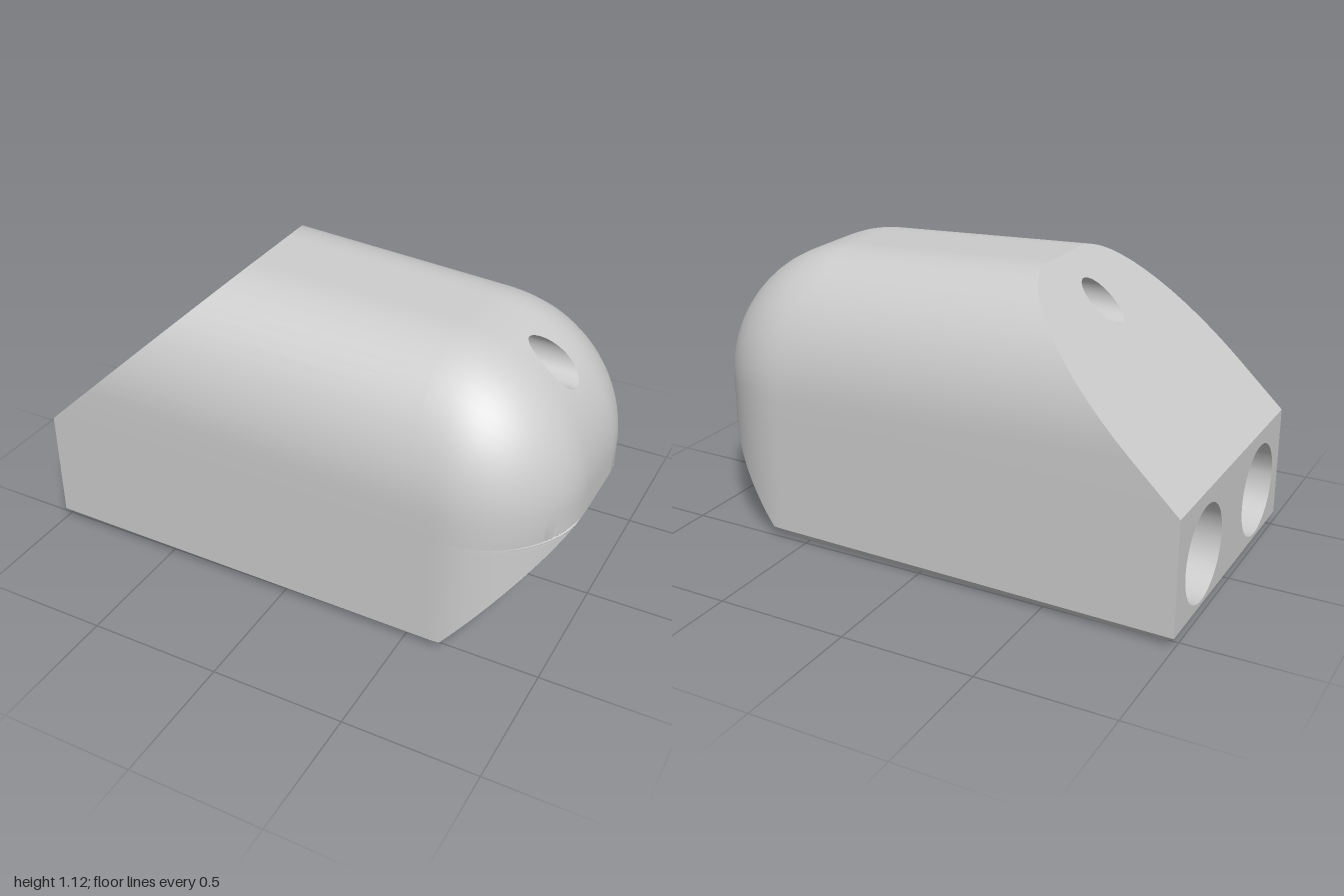
import * as THREE from 'three';
import { toCreasedNormals } from 'three/addons/utils/BufferGeometryUtils.js';

const V = (x, y, z) => new THREE.Vector3(x, y, z);
const ROWS = 30, ARCH = 14, FLAT = 12;

// Gently tapering block: height, half width and sideways drift along x
const height = (x) => 1.117 - 0.045 * (x + 0.32);
const halfFlat = (x) => 0.132 - 0.008 * x;
const drift = (x) => 0.0075 + 0.0172 * x;
// Corner radii shrink to nothing over the rounded end
const shrink = (x, r) => r * Math.sqrt(Math.max(0, 1 - (Math.max(0, x - (1 - r)) / r) ** 2));
const wall = (x) => halfFlat(x) + shrink(x, 0.4);
const crown = (x) => height(x) - 0.5 + shrink(x, 0.5);

// Slanted cuts
const topCut = (y) => Math.max(-1, -1 + 1.051 * (y - 0.47));
const noseCut = (y) => Math.min(1, 0.61 + 0.8125 * y);

// Lengthwise lines: each gives [half z, y] at a station x
function makeLines() {
  const side = [{ at: (x) => [wall(x) - 0.04, 0], y0: 0 }];
  for (const y of [0.04, 0.08, 0.13, 0.18, 0.23, 0.28, 0.33, 0.37, 0.4, 0.43, 0.455, 0.47, 0.48]) {
    side.push({ at: (x) => [wall(x), y], y0: y });
  }
  for (let i = 0; i <= ARCH; i++) {
    const a = (i / ARCH) * Math.PI / 2;
    side.push({
      y0: 1,
      at: (x) => [halfFlat(x) + shrink(x, 0.4) * Math.cos(a), height(x) - 0.5 + shrink(x, 0.5) * Math.sin(a)],
    });
  }
  const flat = [];
  for (let i = 1; i < FLAT; i++) {
    const u = 1 - (2 * i) / FLAT;
    flat.push({ y0: 1, at: (x) => [halfFlat(x) * u, crown(x)] });
  }
  const mirrored = side.map((l) => ({ y0: l.y0, at: (x) => [-l.at(x)[0], l.at(x)[1]] })).reverse();
  return { lines: [...side, ...flat, ...mirrored], sideCount: side.length };
}

// Triangle turned to face away from (sign 1) or towards (sign -1) a reference point
function addTri(out, a, b, c, ref, sign = 1) {
  const n = b.clone().sub(a).cross(c.clone().sub(a));
  if (n.length() < 1e-10) return;
  const mid = a.clone().add(b).add(c).divideScalar(3).sub(ref);
  if (n.dot(mid) * sign < 0) [b, c] = [c, b];
  for (const p of [a, b, c]) out.push(p.x, p.y, p.z);
}

function addQuad(out, a, b, c, d, ref, sign) {
  addTri(out, a, b, c, ref, sign);
  addTri(out, a, c, d, ref, sign);
}

// Flat face from a 3D outline, with optional hole outlines
function addFace(out, outline, holes, ref) {
  const flat = (p) => new THREE.Vector2(p.z, p.y);
  const clean = outline.filter((p, i) => p.distanceTo(outline[(i + 1) % outline.length]) > 1e-5);
  let contour = clean;
  if (THREE.ShapeUtils.isClockWise(contour.map(flat))) contour = contour.slice().reverse();
  const all = [contour, ...holes].flat();
  for (const [a, b, c] of THREE.ShapeUtils.triangulateShape(contour.map(flat), holes.map((h) => h.map(flat)))) {
    addTri(out, all[a], all[b], all[c], ref);
  }
}

// Station on the rounded end where the crown falls to height y
function crownX(y) {
  let lo = 0.5, hi = 1;
  for (let i = 0; i < 40; i++) {
    const m = (lo + hi) / 2;
    if (crown(m) > y) lo = m; else hi = m;
  }
  return lo;
}

function toMesh(name, positions, material, crease) {
  const g = new THREE.BufferGeometry();
  g.setAttribute('position', new THREE.Float32BufferAttribute(positions, 3));
  const mesh = new THREE.Mesh(toCreasedNormals(g, crease), material);
  mesh.name = name;
  return mesh;
}

export function createModel() {
  const group = new THREE.Group();
  group.name = 'drilledBlock';
  const grey = new THREE.MeshStandardMaterial({ color: 0xcccccc });
  grey.name = 'plain grey';

  const core = V(0, 0.5, 0);
  const body = [];
  const { lines, sideCount } = makeLines();

  // Grid of points along every line, from the rear cut to the nose
  const grid = lines.map(({ at, y0 }) => {
    let xs = y0 === 0 ? -0.96 : -1;
    if (y0 > 0) for (let i = 0; i < 30; i++) xs = topCut(at(xs)[1]);
    const end = Math.asin(Math.min(1, (noseCut(y0) - 0.5) / 0.5));
    const row = [];
    for (let i = 0; i <= ROWS + 1; i++) {
      const x = i === 0 ? xs : 0.5 + 0.5 * Math.sin((end * (i - 1)) / ROWS);
      const [z, y] = at(x);
      row.push(V(x, y, z + drift(x)));
    }
    return row;
  });
  const last = lines.length - 1, end = ROWS + 1;

  // Block of cells on the crown replaced by a ring around the small hole
  const j0 = sideCount - 1, j1 = j0 + FLAT;
  let i0 = 0, i1 = end;
  for (let i = 0; i <= end; i++) if (grid[j0][i].y > 1.046) i0 = i;
  for (let i = end; i >= 0; i--) if (grid[j0][i].y < 0.868) i1 = i;

  for (let j = 0; j < last; j++) {
    for (let i = 0; i < end; i++) {
      if (j >= j0 && j < j1 && i >= i0 && i < i1) continue;
      addQuad(body, grid[j][i], grid[j + 1][i], grid[j + 1][i + 1], grid[j][i + 1], core);
    }
  }
  // Underside
  for (let i = 0; i < end; i++) addQuad(body, grid[0][i], grid[last][i], grid[last][i + 1], grid[0][i + 1], core);

  // Ring between the block border and the small hole's rim
  const border = [];
  for (let j = j0; j < j1; j++) border.push(grid[j][i0]);
  for (let i = i0; i < i1; i++) border.push(grid[j1][i]);
  for (let j = j1; j > j0; j--) border.push(grid[j][i1]);
  for (let i = i1; i > i0; i--) border.push(grid[j0][i]);
  const small = { y: 0.955, z: 0.025, r: 0.074 };
  const smallAngles = border.map((p) => Math.atan2(p.y - small.y, p.z - small.z));
  const smallFront = smallAngles.map((a) => {
    const y = small.y + small.r * Math.sin(a);
    return V(crownX(y), y, small.z + small.r * Math.cos(a));
  });
  let ring = border;
  for (let s = 1; s <= 4; s++) {
    const next = border.map((p, k) => {
      const q = p.clone().lerp(smallFront[k], s / 4);
      q.x = crownX(q.y);
      return q;
    });
    ring.forEach((p, k) => {
      const m = (k + 1) % ring.length;
      addQuad(body, p, ring[m], next[m], next[k], core);
    });
    ring = next;
  }

  // Rims of the holes on the flat faces
  const rim = (angles, y, z, r, xOf) => angles.map((a) => {
    const py = y + r * Math.sin(a);
    return V(xOf(py), py, z + r * Math.cos(a));
  });
  const round = Array.from({ length: 48 }, (_, i) => (i / 48) * Math.PI * 2);
  const smallRear = rim(smallAngles, 0.968, -0.002, 0.074, topCut);
  const bigRear = [0.283, -0.293].map((z) => rim(round, 0.234, z, 0.178, () => -1));
  const bigFront = [0.297, -0.248].map((z) => rim(round, 0.234, z, 0.178, noseCut).map((p) => {
    // keep the rim just inside the sloping face
    const limit = wall(p.x) - 0.006, mid = drift(p.x);
    p.z = THREE.MathUtils.clamp(p.z, mid - limit, mid + limit);
    return p;
  }));

  // Flat faces: rear, rear chamfer, sloping top, nose tip and sloping nose
  const pick = (i, test) => grid.filter((_, j) => test(lines[j].y0)).map((row) => row[i]);
  addFace(body, pick(0, (y) => y >= 0.04 && y <= 0.47), bigRear, core);
  addQuad(body, grid[0][0], grid[1][0], grid[last - 1][0], grid[last][0], core);
  addFace(body, pick(0, (y) => y >= 0.47), [smallRear], core);
  addFace(body, pick(end, (y) => y >= 0.48), [], core);
  addFace(body, pick(end, (y) => y <= 0.48), bigFront, core);
  group.add(toMesh('body', body, grey, 0.5));

  // Bore walls
  const bore = (name, rear, front) => {
    const out = [];
    const axis = V(0, 0, 0);
    [...rear, ...front].forEach((p) => axis.add(p));
    axis.divideScalar(rear.length * 2);
    rear.forEach((p, k) => {
      const m = (k + 1) % rear.length;
      const ref = axis.clone().setX((p.x + front[k].x) / 2);
      addQuad(out, p, rear[m], front[m], front[k], ref, -1);
    });
    group.add(toMesh(name, out, grey, 0.6));
  };
  bore('leftBore', bigRear[0], bigFront[0]);
  bore('rightBore', bigRear[1], bigFront[1]);
  bore('upperBore', smallRear, smallFront);
  return group;
}
